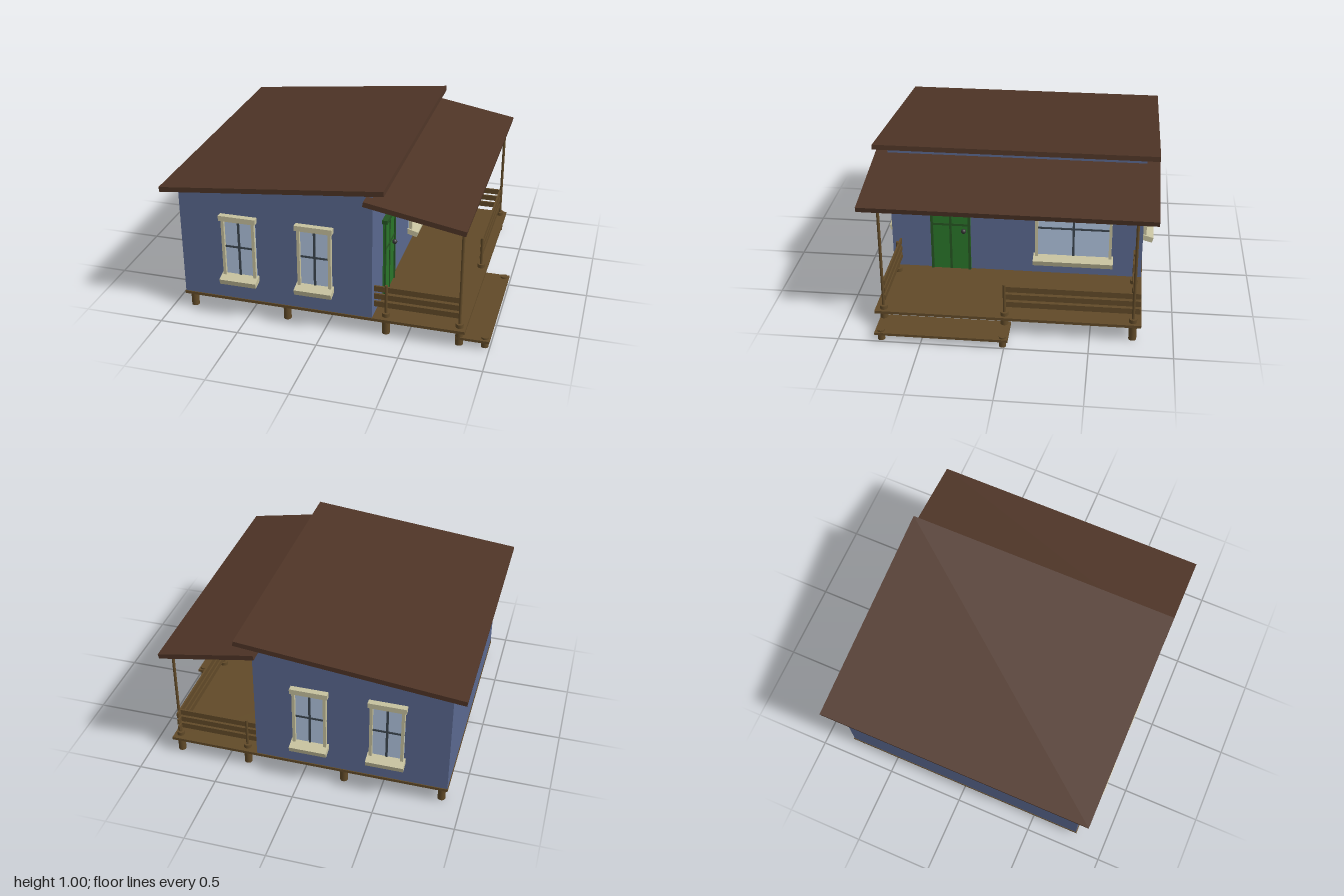
import * as THREE from 'three';

const mat = (color) => new THREE.MeshStandardMaterial({ color });
const M = {
  wall: mat(0x5a688f), roof: mat(0x4e3426), wood: mat(0x614a28), trim: mat(0xc6c19e),
  glass: mat(0xb0c4de), bar: mat(0x3c4650), door: mat(0x2a752a), doorTrim: mat(0x255522), knob: mat(0x333333),
};

function box(parent, name, m, w, h, d, x, y, z) {
  const mesh = new THREE.Mesh(new THREE.BoxGeometry(w, h, d), m);
  mesh.name = name;
  mesh.position.set(x, y, z);
  parent.add(mesh);
  return mesh;
}

// Upright round post standing between two heights
function post(parent, name, r, y0, y1, x, z) {
  const mesh = new THREE.Mesh(new THREE.CylinderGeometry(r, r, y1 - y0, 20), M.wood);
  mesh.name = name;
  mesh.position.set(x, (y0 + y1) / 2, z);
  parent.add(mesh);
}

// Sloping slab whose centre line runs between two points in the x-y plane
function roofSlab(parent, name, x0, y0, x1, y1) {
  const slab = box(parent, name, M.roof, Math.hypot(x1 - x0, y1 - y0), 0.031, 1.755,
    (x0 + x1) / 2, (y0 + y1) / 2, 0);
  slab.rotation.z = Math.atan2(y1 - y0, x1 - x0);
}

// Window facing local +z, origin at the bottom centre of the glass
function makeWindow(w, h) {
  const g = new THREE.Group();
  g.name = 'window';
  box(g, 'glass', M.glass, w, h, 0.012, 0, h / 2, 0.002);
  box(g, 'verticalBar', M.bar, 0.014, h, 0.014, 0, h / 2, 0.006);
  box(g, 'horizontalBar', M.bar, w, 0.012, 0.014, 0, h * 0.49, 0.006);
  for (const s of [-1, 1]) box(g, 'sideFrame', M.trim, 0.018, h, 0.03, s * (w / 2 - 0.009), h / 2, 0.012);
  box(g, 'header', M.trim, w + 0.022, 0.034, 0.045, 0, h - 0.004, 0.0145);
  const sill = box(g, 'sill', M.trim, w + 0.022, 0.036, 0.09, 0, -0.019, 0.026);
  sill.rotation.x = 0.27;
  return g;
}

// Door facing local +z, origin at the bottom centre
function makeDoor() {
  const g = new THREE.Group();
  g.name = 'door';
  const w = 0.255, h = 0.52;
  box(g, 'doorPanel', M.door, w, h, 0.016, 0, h / 2, 0.002);
  for (const s of [-1, 1]) box(g, 'doorStile', M.doorTrim, 0.016, h, 0.024, s * (w / 2 - 0.008), h / 2, 0.006);
  box(g, 'middleStile', M.doorTrim, 0.015, h, 0.02, 0, h / 2, 0.004);
  box(g, 'middleRail', M.doorTrim, w, 0.015, 0.02, 0, 0.32, 0.004);
  box(g, 'doorHeader', M.doorTrim, 0.31, 0.025, 0.04, 0, h + 0.012, 0.014);
  const knob = new THREE.Mesh(new THREE.SphereGeometry(0.016, 16, 12), M.knob);
  knob.name = 'doorKnob';
  knob.position.set(0.085, 0.28, 0.022);
  g.add(knob);
  return g;
}

export function createModel() {
  const house = new THREE.Group();
  house.name = 'house';

  // Walls: side profile with a sloping top, extruded across the depth
  const profile = new THREE.Shape([[-0.912, 0.118], [0.29, 0.118], [0.29, 0.965], [-0.912, 0.839]]
    .map(([x, y]) => new THREE.Vector2(x, y)));
  const walls = new THREE.Mesh(new THREE.ExtrudeGeometry(profile, { depth: 1.6, bevelEnabled: false }), M.wall);
  walls.name = 'walls';
  walls.position.z = -0.8;
  house.add(walls);

  // Floor deck and roofs
  box(house, 'floorDeck', M.wood, 1.77, 0.018, 1.612, -0.03, 0.109, 0);
  roofSlab(house, 'mainRoof', -0.998, 0.842, 0.374, 0.987);
  roofSlab(house, 'porchRoof', 0.252, 0.909, 0.85, 0.802);

  // Foundation posts around the edge; those under the porch rise through the deck
  for (const z of [-0.757, 0.755]) {
    for (const x of [-0.874, -0.26, 0.366, 0.815]) post(house, 'foundationPost', 0.024, 0, x > 0.3 ? 0.142 : 0.11, x, z);
    post(house, 'roofPost', 0.009, 0.11, 0.805, 0.815, z);
    post(house, 'railPost', 0.009, 0.11, 0.328, 0.366, z);
  }
  post(house, 'foundationPost', 0.024, 0, 0.11, -0.874, 0);
  post(house, 'foundationPost', 0.024, 0, 0.142, 0.815, 0.016);
  post(house, 'railPost', 0.009, 0.11, 0.328, 0.815, 0.016);

  // Railing boards on both sides and half of the porch front
  for (const y of [0.191, 0.243, 0.295]) {
    for (const z of [-0.752, 0.748]) box(house, 'sideRailBoard', M.wood, 0.525, 0.036, 0.012, 0.5525, y, z);
    box(house, 'frontRailBoard', M.wood, 0.012, 0.036, 0.81, 0.808, y, -0.392);
  }

  // Entrance step
  box(house, 'stepBoard', M.wood, 0.204, 0.016, 0.8, 0.896, 0.049, 0.378);
  for (const z of [0.01, 0.742]) post(house, 'stepPost', 0.022, 0, 0.068, 0.968, z);

  // Windows on both long walls
  for (const s of [-1, 1]) {
    for (const x of [-0.535, -0.06]) {
      const win = makeWindow(0.21, 0.39);
      win.position.set(x, 0.291, s * 0.8);
      if (s < 0) win.rotation.y = Math.PI;
      house.add(win);
    }
  }

  // Porch window and door
  const porchWindow = makeWindow(0.485, 0.4);
  porchWindow.position.set(0.29, 0.25, -0.365);
  porchWindow.rotation.y = Math.PI / 2;
  const door = makeDoor();
  door.position.set(0.29, 0.118, 0.42);
  door.rotation.y = Math.PI / 2;
  house.add(porchWindow, door);

  return house;
}
